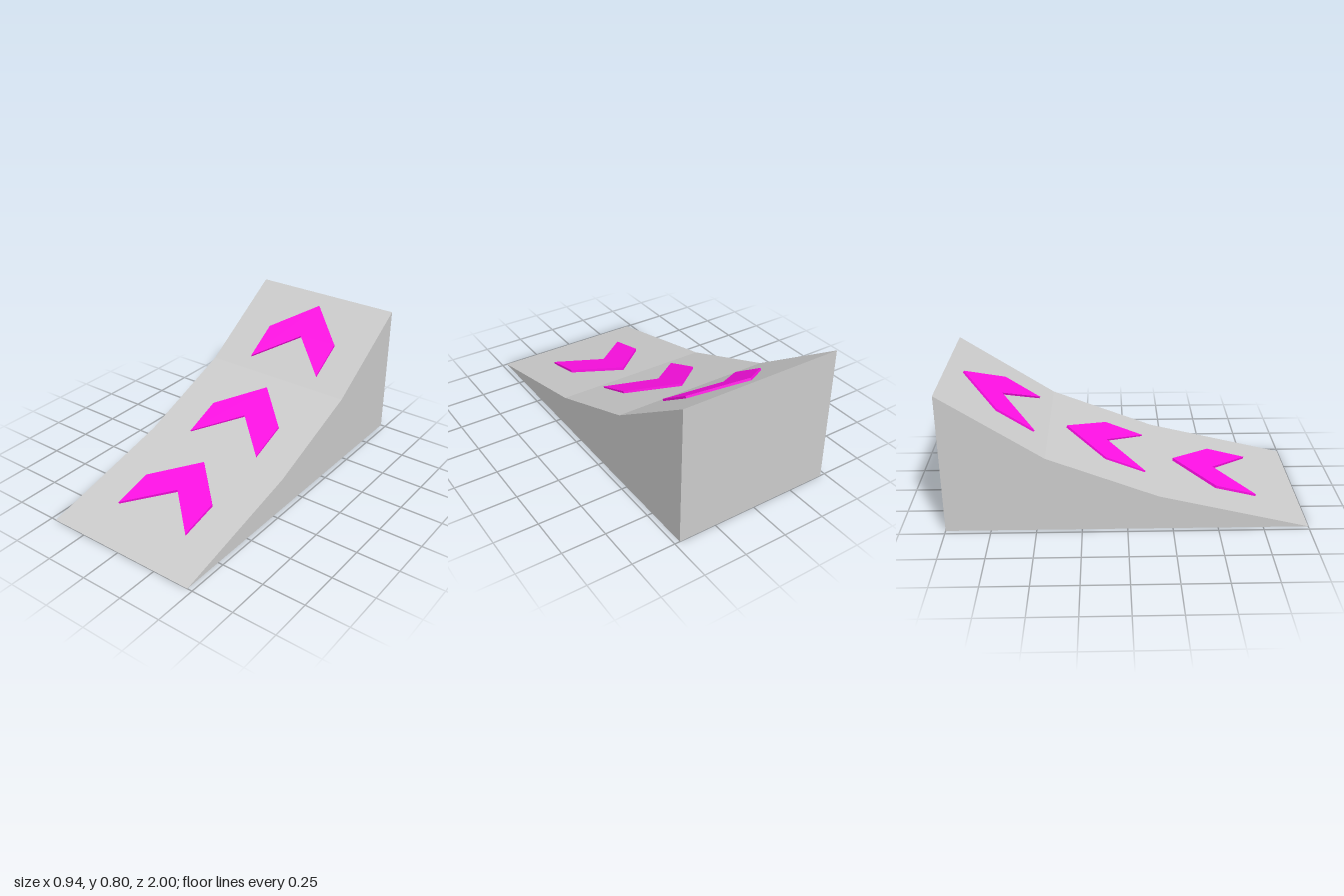
import * as THREE from 'three';

const WIDTH = 0.94;

// Side profile of the ramp as [z, y]
const PROFILE = [[1, 0], [0.17, 0.2], [-0.44, 0.436], [-1, 0.8], [-1, 0]];

// Each arrow's upper face: front end and tip as [z, y]
const ARROWS = [
  { front: [0.743, 0.075], tip: [0.28, 0.193] },
  { front: [0.107, 0.234], tip: [-0.34, 0.413] },
  { front: [-0.508, 0.494], tip: [-0.91, 0.757] },
];

function createRamp() {
  // Extrude the profile across the width, with shape x standing for -z
  const shape = new THREE.Shape(PROFILE.map(([z, y]) => new THREE.Vector2(-z, y)));
  const geometry = new THREE.ExtrudeGeometry(shape, { depth: WIDTH, bevelEnabled: false });
  geometry.translate(0, 0, -WIDTH / 2);
  geometry.rotateY(Math.PI / 2);
  const ramp = new THREE.Mesh(
    geometry,
    new THREE.MeshStandardMaterial({ color: 0xcccccc, flatShading: true })
  );
  ramp.name = 'ramp';
  return ramp;
}

function createArrow({ front, tip }, material) {
  const run = front[0] - tip[0];
  const rise = tip[1] - front[1];
  const length = Math.hypot(run, rise);
  const half = 0.24;
  const thickness = 0.016;

  // Chevron lying flat, pointing along +y
  const outline = [[-half, 0], [0, 0.485], [half, 0], [half, 0.5], [0, 1], [-half, 0.5]];
  const shape = new THREE.Shape(outline.map(([x, t]) => new THREE.Vector2(x, t * length)));
  const geometry = new THREE.ExtrudeGeometry(shape, { depth: thickness, bevelEnabled: false });
  geometry.translate(0, 0, -thickness);

  // Tilt it up the slope
  const arrow = new THREE.Mesh(geometry, material);
  arrow.rotation.x = Math.atan2(rise, run) - Math.PI / 2;
  arrow.position.set(0.006, front[1], front[0]);
  return arrow;
}

export function createModel() {
  const model = new THREE.Group();
  model.name = 'boostRamp';
  model.add(createRamp());

  const magenta = new THREE.MeshStandardMaterial({ color: 0xff10e5, flatShading: true });
  ARROWS.forEach((spec, i) => {
    const arrow = createArrow(spec, magenta);
    arrow.name = `arrow${i + 1}`;
    model.add(arrow);
  });
  return model;
}
